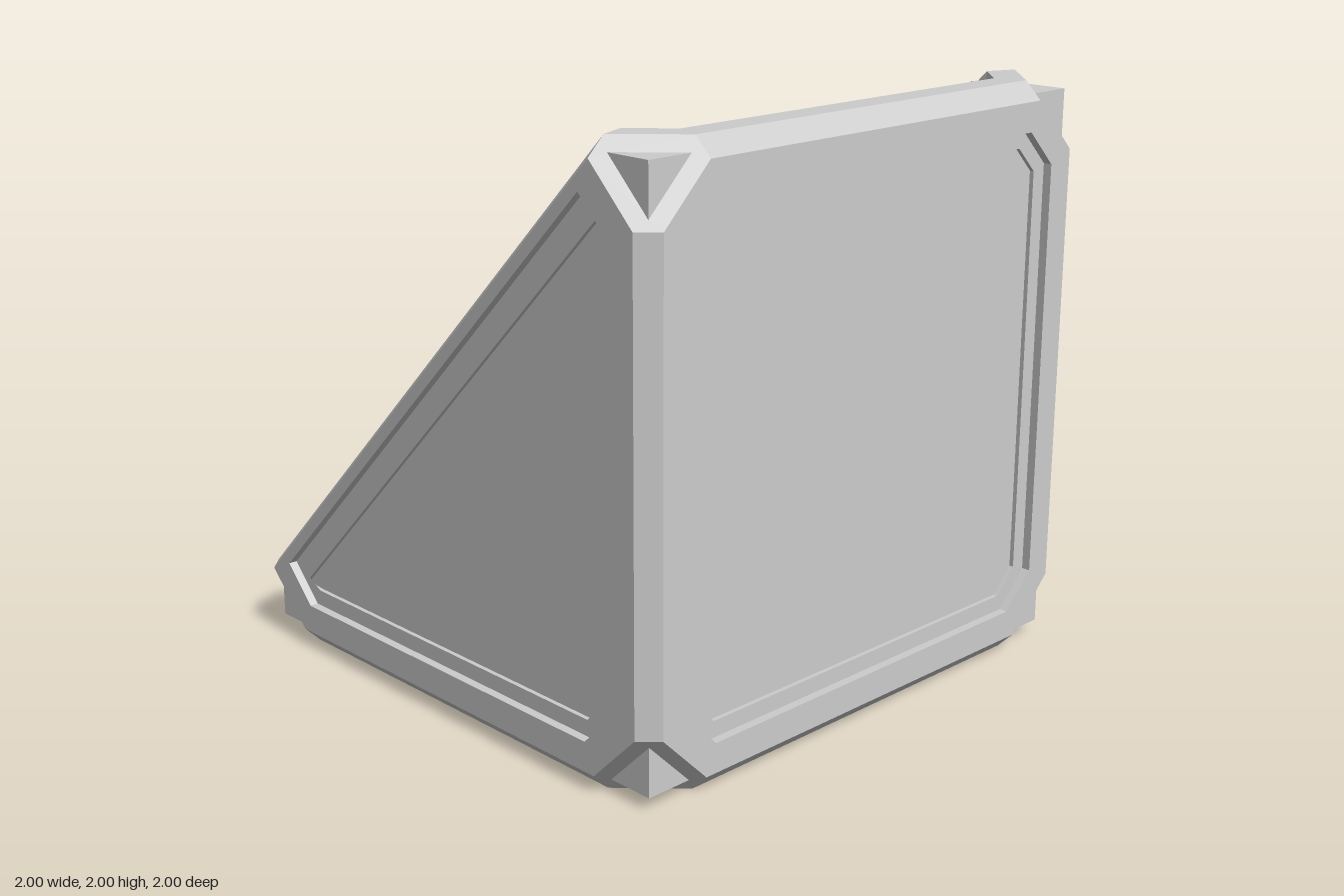
import * as THREE from 'three';

const metal = new THREE.MeshStandardMaterial({ color: 0xcccccc });
metal.name = 'light grey metal';

const CENTRE = new THREE.Vector3(0.3, 0.7, 0);

// Fan-triangulated flat-shaded mesh from convex polygons
function polyMesh(name, polys) {
  const pos = [];
  for (const p of polys)
    for (let i = 1; i < p.length - 1; i++) pos.push(...p[0], ...p[i], ...p[i + 1]);
  const g = new THREE.BufferGeometry();
  g.setAttribute('position', new THREE.Float32BufferAttribute(pos, 3));
  g.computeVertexNormals();
  const m = new THREE.Mesh(g, metal);
  m.name = name;
  return m;
}

// True when the polygon's normal points away from the middle of the block
function facesOut(poly) {
  const [a, b, c] = poly.slice(0, 3).map(p => new THREE.Vector3(...p));
  const n = b.clone().sub(a).cross(c.clone().sub(a));
  return n.dot(a.sub(CENTRE)) > 0;
}
const outward = poly => (facesOut(poly) ? poly : [...poly].reverse());

// Stepped frame lofted through loops, closed by a recessed panel
function framedFace(name, loops) {
  const panel = loops[loops.length - 1];
  if (!facesOut(panel)) loops = loops.map(l => [...l].reverse());
  const quads = [];
  for (let k = 0; k < loops.length - 1; k++) {
    const o = loops[k], n = loops[k + 1];
    o.forEach((p, i) => {
      const j = (i + 1) % o.length;
      quads.push([p, o[j], n[j]], [p, n[j], n[i]]);
    });
  }
  const group = new THREE.Group();
  group.name = name;
  group.add(polyMesh(name + 'Frame', quads), polyMesh(name + 'Panel', [loops[loops.length - 1]]));
  return group;
}

// Outlines of the square faces: corner-cut squares
const octagon = (a, b) => [[a, b], [b, a], [-b, a], [-a, b], [-a, -b], [-b, -a], [b, -a], [a, -b]];
const squares = [octagon(0.94, 0.76), octagon(0.84, 0.72), octagon(0.785, 0.7)];

// Outlines of the triangular faces: a, b as above, diagonal at y = x + d
const triangle = (a, b, d) => [
  [a, 1 - b], [a, 1 + b], [1 + a - d, 1 + a], [-a, d - a], [-b, 1 - a], [b, 1 - a]];
const triangles = [triangle(0.94, 0.76, 1.18), triangle(0.84, 0.72, 1.125), triangle(0.785, 0.7, 1.005)];

// Two steps inward: face, first step, second step, panel
function recess(outlines, place) {
  const steps = [[0, 0], [1, 0], [1, 0.03], [2, 0.03], [2, 0.045]];
  return steps.map(([i, depth]) => outlines[i].map(([u, v]) => place(u, v, depth)));
}

// Loop around the slope; the lower half mirrors the upper half
function slopeLoop(a, b, yA, yB) {
  const top = [[b, yB, a], [a, yA, b], [a, yA, -b], [b, yB, -a]];
  const bottom = top.map(([x, y, z]) => [1 - y, 1 - x, z]).reverse();
  return [...top, ...bottom];
}

export function createModel() {
  const model = new THREE.Group();
  model.name = 'slopeBlock';

  // Triangular sides
  for (const s of [1, -1])
    model.add(framedFace(s > 0 ? 'frontSide' : 'backSide',
      recess(triangles, (u, v, d) => [u, v, s * (1 - d)])));

  // Square upright and base
  model.add(framedFace('uprightSide', recess(squares, (u, v, d) => [1 - d, 1 + v, u])));
  model.add(framedFace('base', recess(squares, (u, v, d) => [u, d, v])));

  // Slope with its sunken panel
  model.add(framedFace('slope', [
    slopeLoop(0.94, 0.76, 2, 2),
    slopeLoop(0.84, 0.72, 2, 2),
    slopeLoop(0.84, 0.72, 1.97, 1.97),
    slopeLoop(0.785, 0.7, 1.97, 1.97),
    slopeLoop(0.785, 0.7, 1.955, 1.87),
  ]));

  // Bevelled edges
  const bevels = [];
  for (const s of [1, -1]) {
    const t = 0.94 * s;
    bevels.push(
      [[-0.76, 0.06, s], [0.76, 0.06, s], [0.76, 0, t], [-0.76, 0, t]],
      [[0.94, 0.24, s], [0.94, 1.76, s], [1, 1.76, t], [1, 0.24, t]],
      [[0.76, 1.94, s], [-0.94, 0.24, s], [-1, 0.24, t], [0.76, 2, t]]);
  }
  for (const [x1, y1, x2, y2] of [[1, 0.06, 0.94, 0], [1, 1.94, 0.94, 2], [-1, 0.06, -0.94, 0]])
    bevels.push([[x1, y1, 0.76], [x2, y2, 0.76], [x2, y2, -0.76], [x1, y1, -0.76]]);
  model.add(polyMesh('edgeBevels', bevels.map(outward)));

  // Cut corners, each with a small three-sided spike
  const e = 0.045, f = 0.21;
  const hexagon = [[0.24, 0.06, 0], [0.06, 0.24, 0], [0, 0.24, 0.06],
    [0, 0.06, 0.24], [0.06, 0, 0.24], [0.24, 0, 0.06]];
  const spike = [[f, e, e], [e, f, e], [e, e, f]];
  for (const [x, y] of [[1, 0], [1, 2], [-1, 0]])
    for (const z of [1, -1]) {
      const at = ([a, b, c]) => [x - x * a, y + (y ? -b : b), z - z * c];
      const tips = spike.map(at), apex = at([e, e, e]);
      const corner = new THREE.Group();
      corner.name = 'corner';
      corner.add(
        polyMesh('cornerPlate', [outward(hexagon.map(at))]),
        polyMesh('cornerSpike', tips.map((p, i) => outward([apex, p, tips[(i + 1) % 3]]))));
      model.add(corner);
    }
  return model;
}
